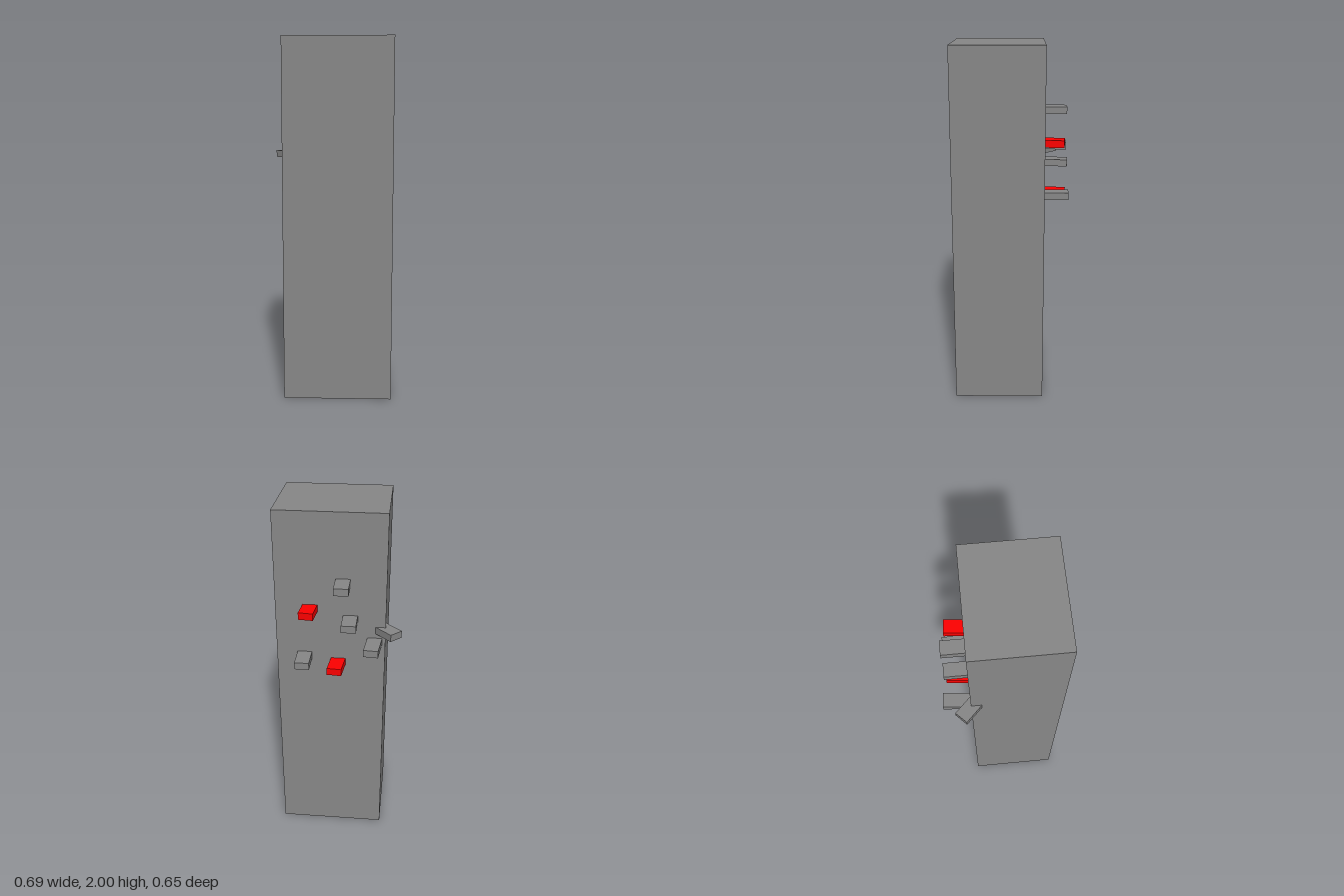
import * as THREE from 'three';

export function createModel() {
  const model = new THREE.Group();
  const grey = new THREE.MeshStandardMaterial({ color: 0x888888 });
  const red = new THREE.MeshStandardMaterial({ color: 0xff0000 });

  // Tall wall column
  const column = new THREE.Mesh(new THREE.BoxGeometry(0.6, 2, 0.5), grey);
  column.name = 'column';
  column.position.set(0.0433, 1, 0.0752);
  model.add(column);

  // Climbing holds: origin at the middle of the outer end, body running into the wall
  const holdShape = new THREE.BoxGeometry(0.08, 0.04, 0.2).translate(0, 0, 0.1);
  const holds = new THREE.Group();
  holds.name = 'holds';
  model.add(holds);

  // x, y, z of the outer end, turn in degrees, material
  [
    [-0.0255, 1.62, -0.305, 0, grey],
    [0.163, 1.465, -0.2855, -5, red],
    [-0.065, 1.41, -0.305, 0, grey],
    [-0.316, 1.346, -0.232, 45, grey],
    [-0.186, 1.28, -0.3225, -5, grey],
    [0.1875, 1.178, -0.31, 0, grey],
    [0.0125, 1.145, -0.2995, -5, red],
  ].forEach(([x, y, z, turn, material], i) => {
    const hold = new THREE.Mesh(holdShape, material);
    hold.name = `hold${i + 1}`;
    hold.position.set(x, y, z);
    hold.rotation.y = THREE.MathUtils.degToRad(turn);
    holds.add(hold);
  });

  return model;
}
